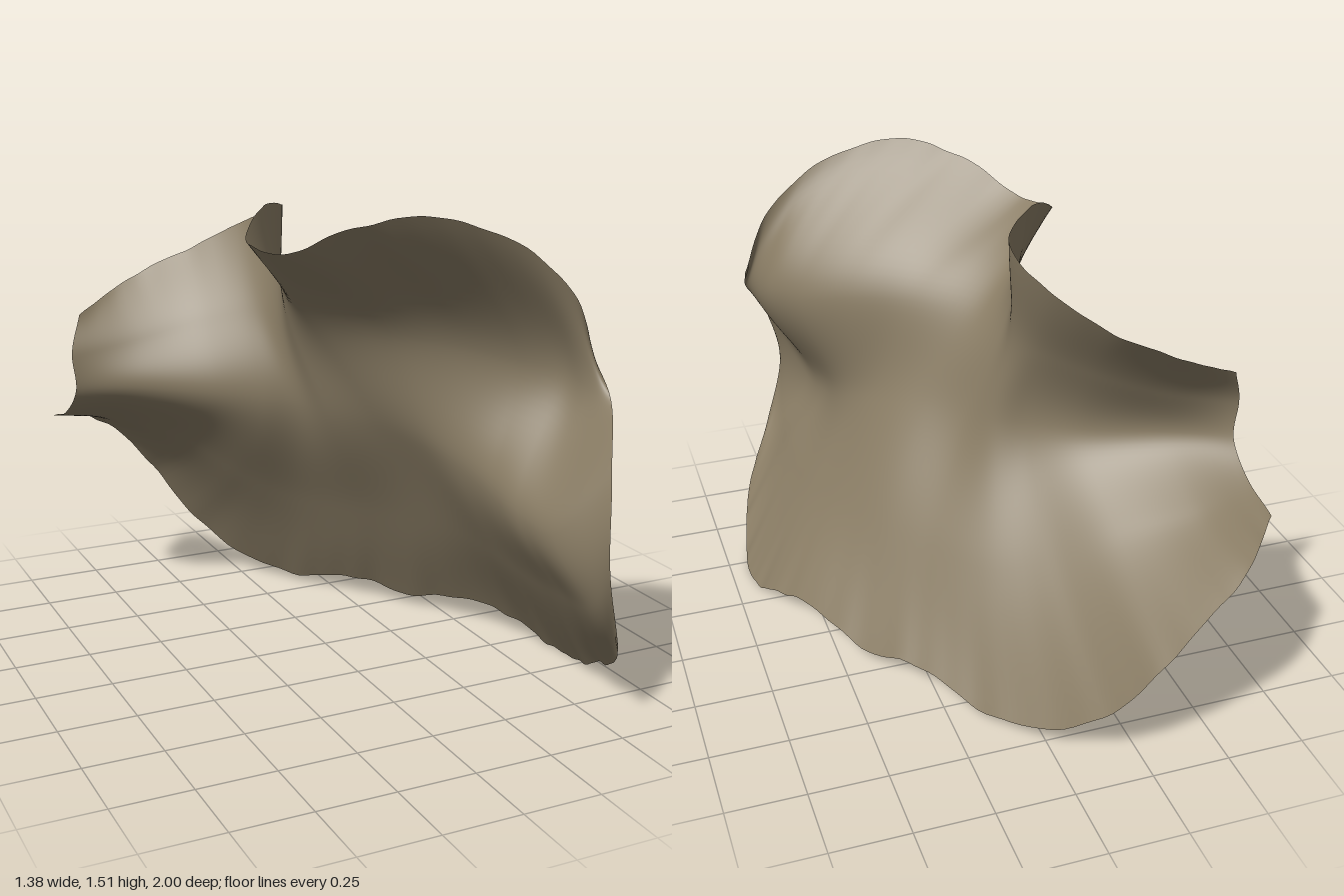
import * as THREE from 'three';

const COLS = 120, ROWS = 60;

// Turns a flat list x, y, z, ... into a smooth curve
function curve(flat) {
  const points = [];
  for (let i = 0; i < flat.length; i += 3) points.push(new THREE.Vector3(flat[i], flat[i + 1], flat[i + 2]));
  return new THREE.CatmullRomCurve3(points);
}

// Five rails run along the sheet from its back end to its front end
const bottomEdge = curve([
  -0.695, 0.695, -0.77, -0.52, 0.64, -0.95, -0.3, 0.45, -0.995, -0.12, 0.19, -0.91, 0.11, 0.03, -0.65,
  0.27, 0.07, -0.39, 0.43, 0.05, -0.17, 0.57, 0.09, 0.1, 0.66, 0.03, 0.28, 0.69, 0.005, 0.44,
  0.66, 0.06, 0.62, 0.605, 0.15, 0.8, 0.515, 0.27, 0.935]);
const lowerRail = curve([
  -0.69, 0.74, -0.64, -0.49, 0.69, -0.67, -0.28, 0.61, -0.59, -0.11, 0.49, -0.49, 0.05, 0.41, -0.37,
  0.18, 0.41, -0.19, 0.31, 0.41, 0.0, 0.4, 0.4, 0.2, 0.45, 0.37, 0.37, 0.47, 0.34, 0.53,
  0.47, 0.35, 0.7, 0.45, 0.38, 0.87, 0.425, 0.55, 1.0]);
const waistRail = curve([
  -0.675, 0.84, -0.54, -0.48, 0.84, -0.45, -0.27, 0.82, -0.33, -0.12, 0.81, -0.23, -0.03, 0.8, -0.16,
  0.04, 0.78, -0.05, 0.14, 0.77, 0.09, 0.23, 0.74, 0.23, 0.29, 0.7, 0.36, 0.33, 0.65, 0.5,
  0.35, 0.62, 0.63, 0.37, 0.61, 0.78, 0.48, 0.8, 0.91]);
const upperRail = curve([
  -0.685, 0.96, -0.53, -0.46, 1.01, -0.49, -0.26, 1.07, -0.42, -0.12, 1.11, -0.31, -0.07, 1.11, -0.2,
  -0.08, 1.11, -0.09, -0.06, 1.11, 0.05, 0.1, 1.11, 0.22, 0.28, 1.09, 0.36, 0.43, 1.05, 0.48,
  0.51, 1.03, 0.58, 0.54, 0.98, 0.67, 0.565, 0.97, 0.77]);
const topEdge = curve([
  -0.645, 1.09, -0.57, -0.45, 1.19, -0.63, -0.25, 1.28, -0.6, -0.08, 1.39, -0.46, -0.04, 1.46, -0.25,
  -0.18, 1.49, -0.07, -0.31, 1.41, 0.1, -0.26, 1.39, 0.26, -0.12, 1.48, 0.44, 0.05, 1.52, 0.57,
  0.28, 1.45, 0.65, 0.49, 1.28, 0.67, 0.59, 1.08, 0.64]);
const rails = [bottomEdge, lowerRail, waistRail, upperRail, topEdge];

// Small irregular scallops, strongest at the top and bottom rims
function ruffle(p, u, v) {
  const rim = Math.pow(Math.abs(2 * v - 1), 5);
  const wave = Math.sin(u * 61) + 0.7 * Math.sin(u * 97 + 1.3) + 0.4 * Math.sin(u * 170 + 0.6);
  const low = v < 0.5 ? 1 : 0.4;
  p.y += 0.005 * rim * low * wave;
  const fold = Math.sin(u * 34 + v * 5) * Math.sin(v * Math.PI) + 0.6 * Math.sin(u * 15 - v * 17);
  p.x += 0.003 * fold;
  p.z -= 0.002 * fold;
  p.y = Math.max(p.y, 0);
}

// The sheet is a grid drawn through the rails, one cross-section per column
function sheetGeometry() {
  const geometry = new THREE.PlaneGeometry(1, 1, ROWS, COLS);
  const position = geometry.attributes.position;
  for (let j = 0; j <= COLS; j++) {
    const u = j / COLS;
    const section = new THREE.CatmullRomCurve3(rails.map((rail) => rail.getPoint(u)));
    for (let i = 0; i <= ROWS; i++) {
      const v = i / ROWS;
      const p = section.getPoint(v);
      ruffle(p, u, v);
      position.setXYZ(j * (ROWS + 1) + i, p.x, p.y, p.z);
    }
  }
  geometry.computeVertexNormals();
  return geometry;
}

export function createModel() {
  const model = new THREE.Group();
  model.name = 'twistedSheet';
  const driedBrown = new THREE.MeshStandardMaterial({ color: 0x897c64, side: THREE.DoubleSide });
  driedBrown.name = 'driedBrown';
  const sheet = new THREE.Mesh(sheetGeometry(), driedBrown);
  sheet.name = 'wavySheet';
  model.add(sheet);
  return model;
}
